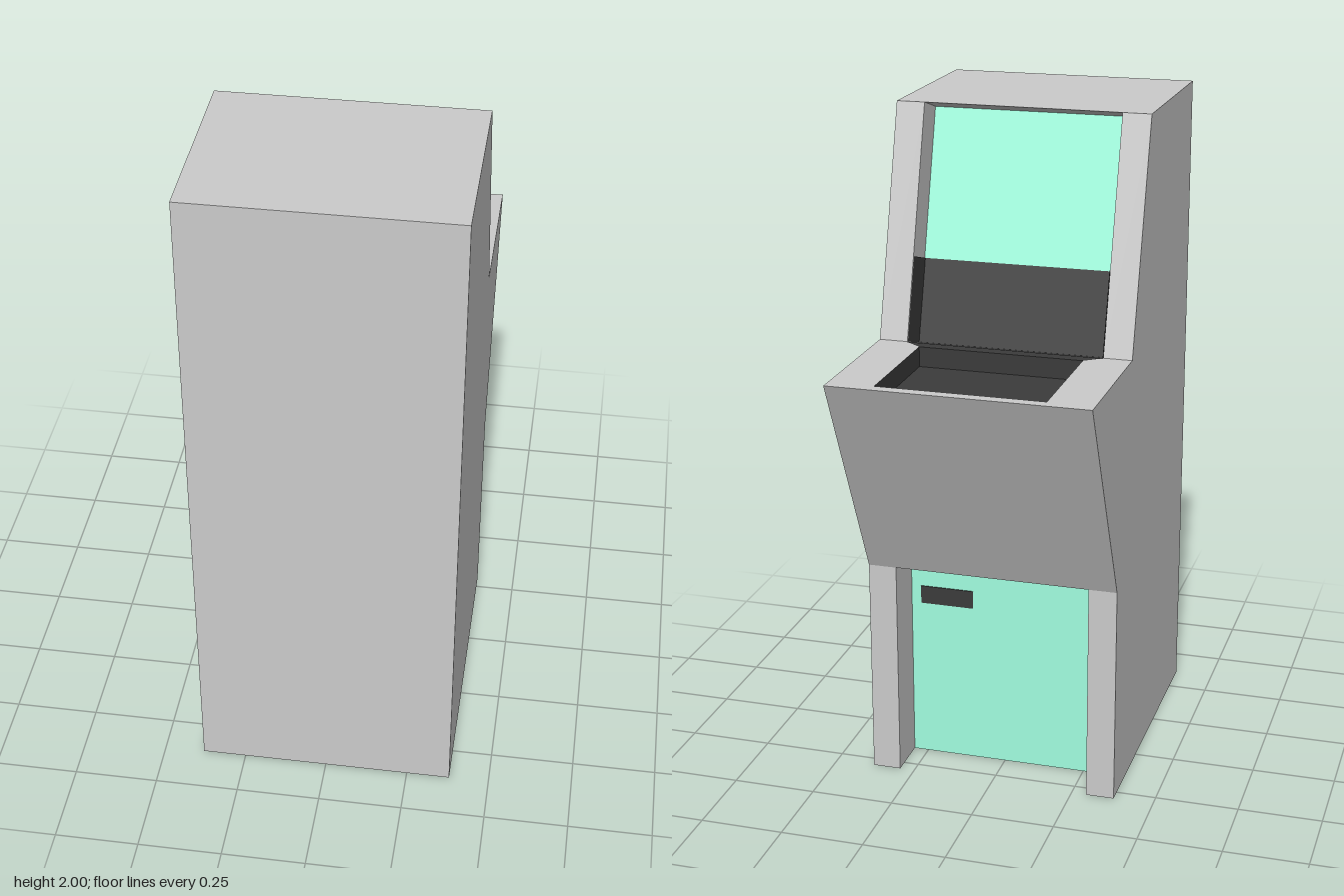
import * as THREE from 'three';

const HALF = 0.38;   // half of the overall width
const INNER = 0.295; // half of the gap between the side panels
const TRAY = 0.245;  // half of the control tray width

const material = (color) =>
  new THREE.MeshStandardMaterial({ color, flatShading: true, side: THREE.DoubleSide });

// Flat four-cornered panel
function panel(name, corners, mat) {
  const geo = new THREE.BufferGeometry();
  geo.setAttribute('position', new THREE.Float32BufferAttribute(corners.flat(), 3));
  geo.setIndex([0, 1, 2, 0, 2, 3]);
  geo.computeVertexNormals();
  const mesh = new THREE.Mesh(geo, mat);
  mesh.name = name;
  return mesh;
}

export function createModel() {
  const group = new THREE.Group();
  group.name = 'arcadeCabinet';
  const grey = material(0xcccccc);
  const green = material(0xa1fee0);
  const dark = material(0x3b3b3b);

  // Side panels: the full silhouette, given as z, y
  const outline = [[-0.29, 0], [-0.29, 0.67], [-0.61, 1.33], [-0.15, 1.33],
    [0.04, 2], [0.61, 2], [0.61, 0]];
  const sideGeo = new THREE.ExtrudeGeometry(
    new THREE.Shape(outline.map(([z, y]) => new THREE.Vector2(z, y))),
    { depth: HALF - INNER, bevelEnabled: false });
  sideGeo.rotateY(-Math.PI / 2);
  for (const [name, x] of [['leftSide', HALF], ['rightSide', -INNER]]) {
    const side = new THREE.Mesh(sideGeo, grey);
    side.name = name;
    side.position.x = x;
    group.add(side);
  }

  // Middle section: panels that run round the inner profile.
  // Each row is z, y, half width, then the panel leading to the next row.
  const profile = [
    [-0.15, 0, INNER, 'door', green],
    [-0.15, 0.67, INNER, 'doorRecessTop', grey],
    [-0.29, 0.67, INNER, 'slopedFront', grey],
    [-0.61, 1.33, INNER, 'trayFrontRim', grey],
    [-0.575, 1.33, TRAY, 'trayFrontWall', grey],
    [-0.575, 1.27, TRAY, 'trayFloor', dark],
    [-0.19, 1.27, TRAY, 'trayBackWall', dark],
    [-0.19, 1.33, TRAY, 'trayLedge', dark],
    [-0.153, 1.33, INNER, 'screenSill', dark],
    [-0.05, 1.30, INNER, 'lowerScreenPanel', dark],
    [0.02, 1.54, INNER, 'screen', green],
    [0.14, 1.97, INNER, 'screenRecessTop', grey],
    [0.04, 2, INNER, 'roof', grey],
    [0.61, 2, INNER, 'rearPanel', grey],
    [0.61, 0, INNER, 'base', grey],
  ];
  profile.forEach(([z, y, w, name, mat], i) => {
    const [z2, y2, w2] = profile[(i + 1) % profile.length];
    group.add(panel(name, [[w, y, z], [-w, y, z], [-w2, y2, z2], [w2, y2, z2]], mat));
  });

  // Tray rims, tray side walls and the dark lower part of the screen recess
  for (const s of [1, -1]) {
    const add = (name, corners, mat) => {
      const pts = corners.map(([x, y, z]) => [s * x, y, z]);
      group.add(panel(name, s > 0 ? pts : pts.reverse(), mat));
    };
    add('traySideRim', [[INNER, 1.33, -0.61], [TRAY, 1.33, -0.575],
      [TRAY, 1.33, -0.19], [INNER, 1.33, -0.153]], grey);
    add('traySideWall', [[TRAY, 1.33, -0.575], [TRAY, 1.27, -0.575],
      [TRAY, 1.27, -0.19], [TRAY, 1.33, -0.19]], dark);
    const x = INNER - 0.002;
    add('recessSideLining', [[x, 1.33, -0.15], [x, 1.57, -0.082],
      [x, 1.54, 0.02], [x, 1.30, -0.05]], dark);
  }

  // Coin slot on the door
  const slot = new THREE.Mesh(new THREE.BoxGeometry(0.165, 0.056, 0.006), dark);
  slot.name = 'coinSlot';
  slot.position.set(0.182, 0.53, -0.15);
  group.add(slot);

  return group;
}
